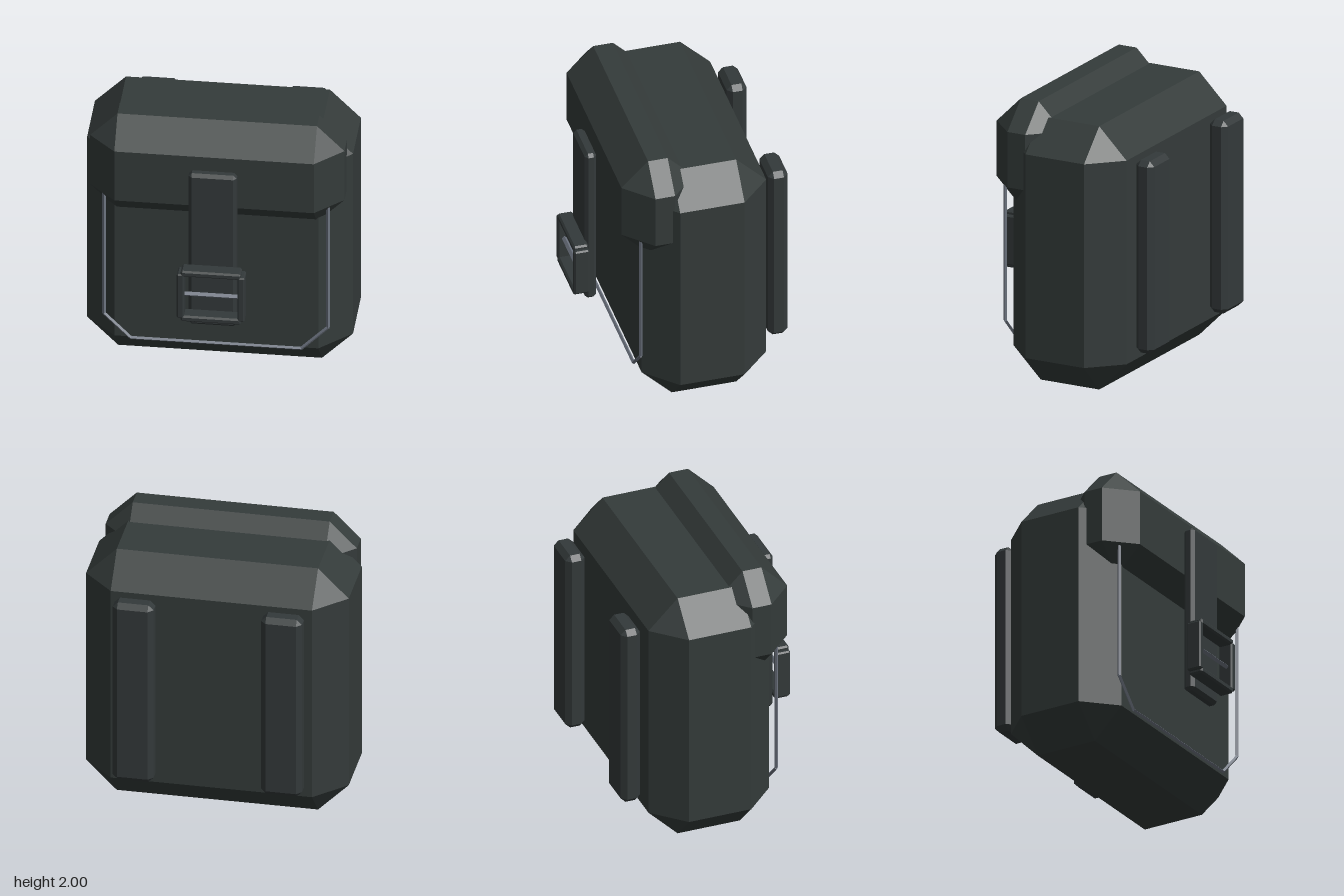
import * as THREE from 'three';
import { ConvexGeometry } from 'three/addons/geometries/ConvexGeometry.js';

const material = (name, color) => {
  const m = new THREE.MeshStandardMaterial({ color });
  m.name = name;
  return m;
};

// Box with every edge and corner cut by the same chamfer c
function chamferBox(name, mat, x, y, z, c) {
  const [hx, hy, hz] = [x, y, z].map(([a, b]) => (b - a) / 2);
  const points = [];
  for (const sx of [-1, 1]) for (const sy of [-1, 1]) for (const sz of [-1, 1]) {
    points.push(
      new THREE.Vector3(sx * hx, sy * (hy - c), sz * (hz - c)),
      new THREE.Vector3(sx * (hx - c), sy * hy, sz * (hz - c)),
      new THREE.Vector3(sx * (hx - c), sy * (hy - c), sz * hz));
  }
  const mesh = new THREE.Mesh(new ConvexGeometry(points), mat);
  mesh.name = name;
  mesh.position.set((x[0] + x[1]) / 2, (y[0] + y[1]) / 2, (z[0] + z[1]) / 2);
  return mesh;
}

// Four-sided rod between two points
function rod(name, mat, a, b, radius) {
  const dir = b.clone().sub(a);
  const geo = new THREE.CylinderGeometry(radius, radius, dir.length(), 4).toNonIndexed();
  geo.computeVertexNormals();
  const mesh = new THREE.Mesh(geo, mat);
  mesh.name = name;
  mesh.position.copy(a).add(b).multiplyScalar(0.5);
  mesh.quaternion.setFromUnitVectors(new THREE.Vector3(0, 1, 0), dir.normalize());
  return mesh;
}

export function createModel() {
  const group = new THREE.Group();
  group.name = 'pouch';
  const fabric = material('dark fabric', 0x343b3a);
  const webbing = material('dark webbing', 0x33393a);
  const metal = material('grey metal', 0x6d7480);

  // Main bag and overhanging flap
  group.add(chamferBox('body', fabric, [-0.92, 0.92], [0, 1.9], [-0.53, 0.36], 0.215));
  group.add(chamferBox('flap', fabric, [-0.88, 0.88], [1.22, 2], [-0.02, 0.5], 0.19));

  // Piping around the front panel
  const piping = new THREE.Group();
  piping.name = 'piping';
  const path = [[-0.775, 1.45], [-0.775, 0.41], [-0.59, 0.223], [0.59, 0.223], [0.775, 0.41], [0.775, 1.45]]
    .map(([x, y]) => new THREE.Vector3(x, y, 0.385));
  for (let i = 1; i < path.length; i++) {
    piping.add(rod('pipingSegment', metal, path[i - 1], path[i], 0.0125));
  }
  group.add(piping);

  // Front strap
  group.add(chamferBox('frontStrap', webbing, [-0.167, 0.167], [0.5, 1.73], [0.525, 0.608], 0.023));

  // Buckle frame with a metal cross bar
  const buckle = new THREE.Group();
  buckle.name = 'buckle';
  for (const [y0, y1] of [[0.585, 0.632], [0.95, 0.997]]) {
    buckle.add(chamferBox('buckleBar', webbing, [-0.208, 0.208], [y0, y1], [0.597, 0.705], 0.012));
  }
  for (const s of [-1, 1]) {
    buckle.add(chamferBox('buckleSide', webbing, [s * 0.21 - 0.025, s * 0.21 + 0.025], [0.61, 0.97], [0.597, 0.705], 0.01));
  }
  buckle.add(rod('buckleCrossBar', metal, new THREE.Vector3(-0.19, 0.79, 0.66), new THREE.Vector3(0.19, 0.79, 0.66), 0.018));
  group.add(buckle);

  // Pair of back straps
  for (const s of [-1, 1]) {
    group.add(chamferBox('backStrap', webbing, [s * 0.52 - 0.143, s * 0.52 + 0.143], [0.29, 1.68], [-0.705, -0.563], 0.036));
  }
  return group;
}
